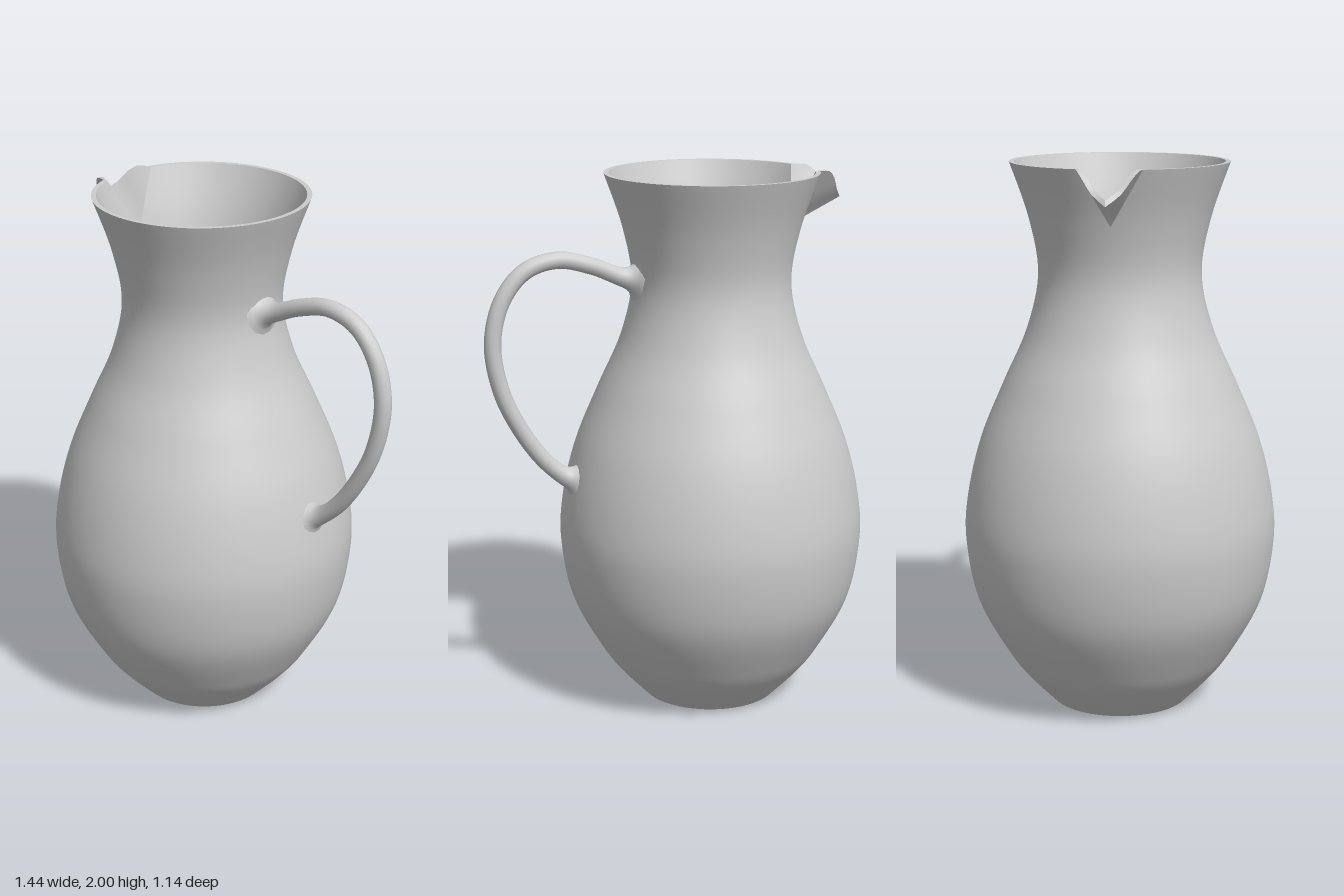
import * as THREE from 'three';
import { mergeVertices } from 'three/addons/utils/BufferGeometryUtils.js';

const SEGMENTS = 72;
const WALL = 0.018;
const AXIS_X = -0.15;                       // the body's own axis
const NOTCH = { y: 1.8, height: 0.2, halfWidth: 0.115, spread: 0.9 };
const UP = new THREE.Vector3(0, 1, 0);
const v2 = (x, y) => new THREE.Vector2(x, y);

// Half width of the V-shaped notch in the rim at a height
const notchWidth = (y) =>
  NOTCH.halfWidth * THREE.MathUtils.clamp((y - NOTCH.y) / NOTCH.height, 0, 1);

// Lathe whose seam faces -x and is spread open into the notch
function notchedLathe(points) {
  const geo = new THREE.LatheGeometry(points, SEGMENTS, -Math.PI / 2);
  const pos = geo.attributes.position, nor = geo.attributes.normal;
  const v = new THREE.Vector3();
  for (let k = 0; k < pos.count; k++) {
    const p = points[k % points.length];
    const w = notchWidth(p.y);
    if (w === 0) continue;
    const column = Math.floor(k / points.length);
    const side = column <= SEGMENTS / 2 ? 1 : -1;
    const fromSeam = Math.min(column, SEGMENTS - column) / SEGMENTS * Math.PI * 2;
    const turn = side * Math.asin(w / p.x) * Math.max(0, 1 - fromSeam / NOTCH.spread);
    for (const attr of [pos, nor]) {
      v.fromBufferAttribute(attr, k).applyAxisAngle(UP, turn);
      attr.setXYZ(k, v.x, v.y, v.z);
    }
  }
  return geo;
}

// Ruled strip between two rows of points
function ruledStrip(a, b, flip) {
  const geo = new THREE.BufferGeometry().setFromPoints([...a, ...b]);
  const n = a.length, index = [];
  for (let j = 0; j < n - 1; j++) {
    for (const [p, q, r] of [[j, j + 1, n + j], [j + 1, n + j + 1, n + j]]) {
      index.push(p, ...(flip ? [r, q] : [q, r]));
    }
  }
  geo.setIndex(index);
  geo.computeVertexNormals();
  return geo;
}

// Round tube that flares where it meets the body
function flaredTube(curve, radius, startFlare, endFlare) {
  const rings = 128, sides = 14, length = curve.getLength();
  const geo = new THREE.TubeGeometry(curve, rings, radius, sides);
  const pos = geo.attributes.position, v = new THREE.Vector3();
  for (let k = 0; k < pos.count; k++) {
    const t = Math.floor(k / (sides + 1)) / rings;
    const center = curve.getPointAt(t);
    const scale = 1 + (startFlare * Math.exp(-t * length / 0.025)
      + endFlare * Math.exp(-(1 - t) * length / 0.025)) / radius;
    v.fromBufferAttribute(pos, k).sub(center).multiplyScalar(scale).add(center);
    pos.setXYZ(k, v.x, v.y, v.z);
  }
  geo.deleteAttribute('uv');
  geo.deleteAttribute('normal');
  const smooth = mergeVertices(geo, 1e-5);
  smooth.computeVertexNormals();
  return smooth;
}

export function createModel() {
  const model = new THREE.Group();
  model.name = 'pitcher';
  const ceramic = new THREE.MeshStandardMaterial({ color: 0xcccccc });
  ceramic.name = 'light grey ceramic';
  const add = (parent, name, geo) => {
    const mesh = new THREE.Mesh(geo, ceramic);
    mesh.name = name;
    parent.add(mesh);
  };

  // Body: outer and inner walls, rim, floor and recessed base
  const body = new THREE.Group();
  body.name = 'body';
  body.position.x = AXIS_X;
  model.add(body);
  const controls = [
    [0.255, 0], [0.35, 0.1], [0.425, 0.2], [0.53, 0.4], [0.57, 0.62], [0.558, 0.8],
    [0.508, 1.0], [0.425, 1.2], [0.337, 1.4], [0.295, 1.6], [0.327, 1.8], [0.395, 2],
  ].map(([r, y]) => v2(r, y));
  const outer = new THREE.SplineCurve(controls).getPoints((controls.length - 1) * 8);
  const inner = outer.filter((p) => p.y > 0.03).map((p) => v2(p.x - WALL, p.y)).reverse();
  const floor = inner[inner.length - 1];
  add(body, 'outerWall', notchedLathe(outer));
  add(body, 'rim', notchedLathe([outer[outer.length - 1], inner[0]]));
  add(body, 'innerWall', notchedLathe(inner));
  add(body, 'floor', notchedLathe([floor, v2(0.195, floor.y), v2(0.18, floor.y + 0.012),
    v2(0, floor.y + 0.012)]));
  add(body, 'base', notchedLathe([v2(0, 0.012), v2(0.18, 0.012), v2(0.195, 0), v2(0.255, 0)]));

  // Spout: two mirrored walls from the notch out to a pointed lip
  const spout = new THREE.Group();
  spout.name = 'spout';
  body.add(spout);
  const profile = outer.filter((p) => p.y >= NOTCH.y - 1e-6);
  const edge = (p, r) => {
    const w = notchWidth(p.y);
    return new THREE.Vector3(-Math.sqrt(r * r - w * w), p.y, w);
  };
  const outerRoot = profile.map((p) => edge(p, p.x));
  const innerRoot = profile.map((p) => edge(p, p.x - WALL));
  const last = profile.length - 1;
  const lip = new THREE.CatmullRomCurve3([
    new THREE.Vector3(-0.51, 1.887, 0),
    new THREE.Vector3(-0.475, 1.925, 0.05),
    new THREE.Vector3(-0.45, 1.97, 0.082),
    new THREE.Vector3(-0.42, 1.997, 0.104),
    outerRoot[last].clone(),
  ]);
  const outerLip = profile.map((p, j) => lip.getPoint(j / last));
  const rimStep = innerRoot[last].clone().sub(outerRoot[last]);
  const innerLip = outerLip.map((p, j) => {
    const t = j / last;
    const step = new THREE.Vector3(0.008, 0.02, 0).lerp(rimStep, t);
    step.z -= 0.012 * Math.sin(Math.PI * t);
    return p.clone().add(step);
  });
  for (const side of [1, -1]) {
    const mirror = (row) => row.map((p) => new THREE.Vector3(p.x, p.y, p.z * side));
    const rows = [outerRoot, outerLip, innerLip, innerRoot].map(mirror);
    ['spoutOuter', 'spoutLip', 'spoutInner'].forEach((name, k) =>
      add(spout, name + (side > 0 ? 'Front' : 'Back'), ruledStrip(rows[k], rows[k + 1], side < 0)));
  }

  // Handle: looped tube blended into neck and shoulder
  const path = new THREE.CatmullRomCurve3([
    [0.138, 1.622], [0.2, 1.635], [0.31, 1.68], [0.44, 1.709], [0.56, 1.675], [0.645, 1.575],
    [0.684, 1.42], [0.655, 1.24], [0.585, 1.09], [0.5, 0.97], [0.43, 0.908], [0.382, 0.887],
  ].map(([x, y]) => new THREE.Vector3(x, y, 0)));
  add(model, 'handle', flaredTube(path, 0.031, 0.052, 0.032));

  return model;
}
